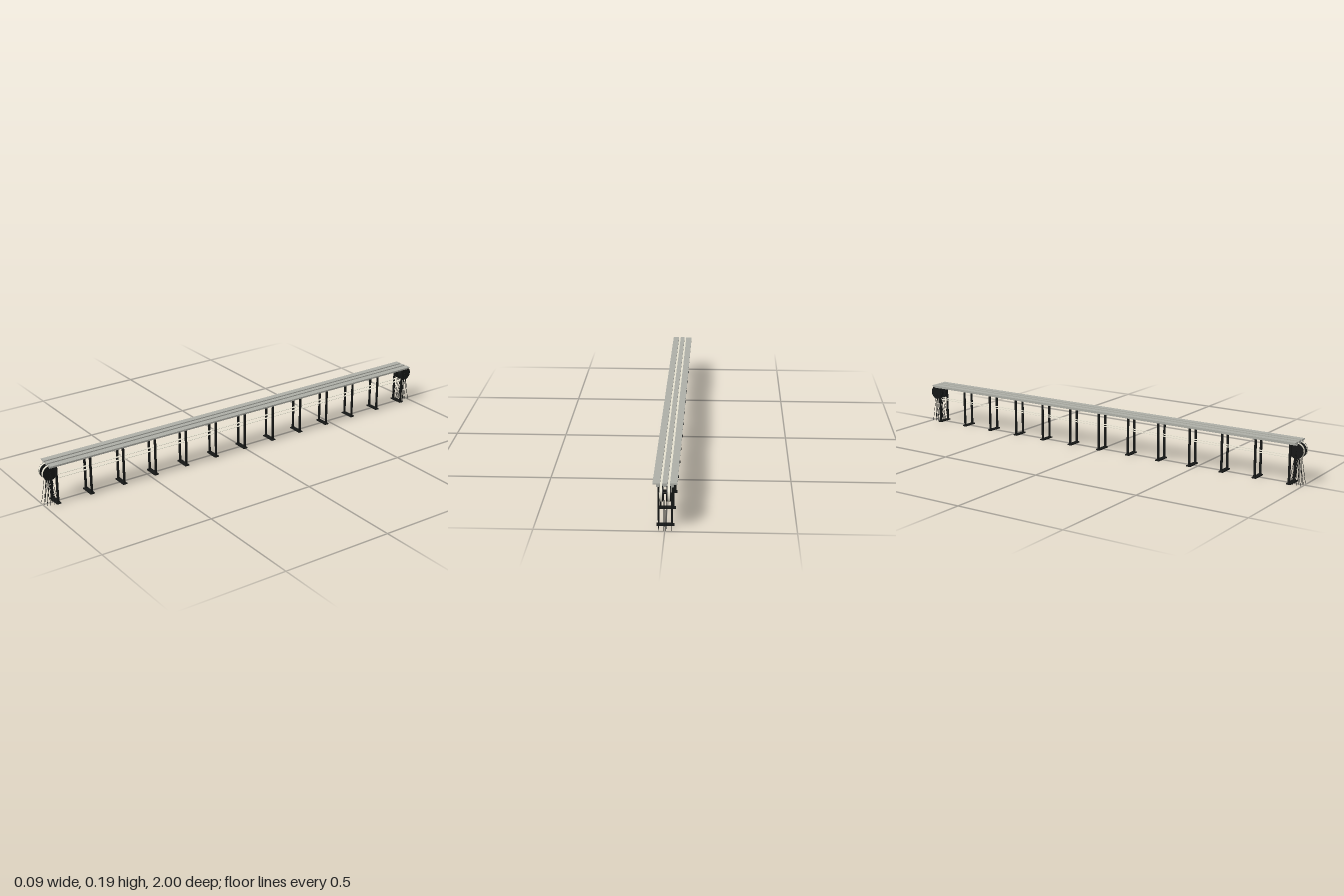
import * as THREE from 'three';

const mat = (color, side = THREE.FrontSide) => new THREE.MeshStandardMaterial({ color, side });

export function createModel() {
  const root = new THREE.Group();
  const deckMat = mat(0xadaea6), black = mat(0x151716), beltMat = mat(0xe4e0cf, THREE.DoubleSide);
  const wheelZ = 0.967, wheelY = 0.144, R = 0.033;

  const add = (name, geo, material, x = 0, y = 0, z = 0) => {
    const m = new THREE.Mesh(geo, material);
    m.name = name;
    m.position.set(x, y, z);
    root.add(m);
    return m;
  };
  const disc = (name, r, width, material, x, z) =>
    add(name, new THREE.CylinderGeometry(r, r, width, 32).rotateZ(Math.PI / 2), material, x, wheelY, z);

  // Long deck: centre rail and two stepped side rails, with belt slots between
  const length = 1.945;
  add('centreRail', new THREE.BoxGeometry(0.02, 0.015, length), deckMat, 0, 0.1775, 0);
  for (const s of [-1, 1]) {
    const pts = [[0.019, 0.17], [0.033, 0.17], [0.033, 0.18], [0.047, 0.18], [0.047, 0.185], [0.019, 0.185]];
    const profile = new THREE.Shape(pts.map(([x, y]) => new THREE.Vector2(s * x, y)));
    const geo = new THREE.ExtrudeGeometry(profile, { depth: length, bevelEnabled: false });
    add('sideRail', geo, deckMat, 0, 0, -length / 2);
  }

  // Two endless belts, each a thin loop round its pair of wheels
  const loop = (r) => {
    const p = new THREE.Path();
    p.absarc(wheelZ, wheelY, r, -Math.PI / 2, Math.PI / 2, false);
    p.absarc(-wheelZ, wheelY, r, Math.PI / 2, Math.PI * 1.5, false);
    p.closePath();
    return p;
  };
  const beltShape = new THREE.Shape(loop(R).getPoints(20));
  beltShape.holes.push(new THREE.Path(loop(R - 0.0015).getPoints(20)));
  const beltGeo = new THREE.ExtrudeGeometry(beltShape, { depth: 0.01, bevelEnabled: false });
  beltGeo.rotateY(-Math.PI / 2).translate(0.005, 0, 0);
  for (const s of [-1, 1]) add('belt', beltGeo, beltMat, s * 0.015);

  // Wheels, axles and splayed stay wires at both ends
  const up = new THREE.Vector3(0, 1, 0);
  for (const e of [-1, 1]) {
    const z = e * wheelZ;
    for (const s of [-1, 1]) {
      disc('wheel', R - 0.0015, 0.011, black, s * 0.015, z);
      disc('outerFlange', R - 0.0005, 0.0015, black, s * 0.0212, z);
      disc('innerFlange', R - 0.0005, 0.003, black, s * 0.0083, z);
    }
    disc('axle', 0.003, 0.05, black, 0, z);
    for (const x of [-0.024, -0.004, 0.004, 0.024]) {
      for (const dz of [-0.026, -0.009, 0.009, 0.026]) {
        const top = new THREE.Vector3(x, wheelY, z), foot = new THREE.Vector3(x, 0, z + dz);
        const dir = top.clone().sub(foot);
        const wire = add('stayWire', new THREE.CylinderGeometry(0.0009, 0.0009, dir.length(), 6), black);
        wire.position.copy(top).add(foot).multiplyScalar(0.5);
        wire.quaternion.setFromUnitVectors(up, dir.normalize());
      }
    }
  }

  // Thirteen trestles: a foot plate with two posts
  for (let i = 0; i < 13; i++) {
    const z = (i - 6) * 0.157;
    add('footPlate', new THREE.BoxGeometry(0.068, 0.005, 0.02), black, 0, 0.0025, z);
    for (const s of [-1, 1])
      add('post', new THREE.BoxGeometry(0.006, 0.169, 0.009), black, s * 0.026, 0.0885, z);
  }
  return root;
}
